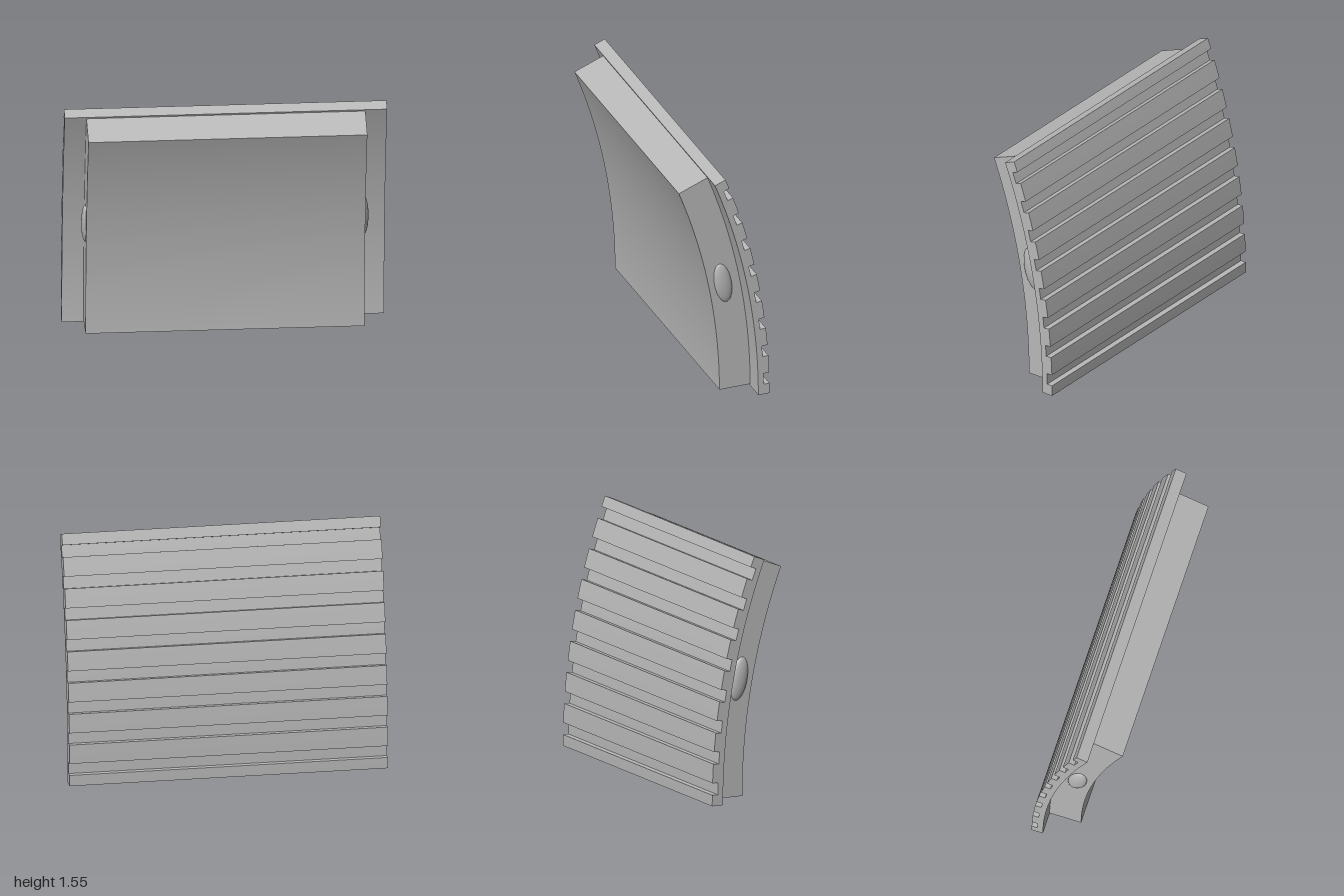
import * as THREE from 'three';
import { toCreasedNormals } from 'three/addons/utils/BufferGeometryUtils.js';

const CENTRE_Z = 3.97;             // axis of the curved panel
const FRONT_R = 3.965, JOINT_R = 4.17, GROOVE_R = 4.207, CREST_R = 4.245;

// Point on the side profile; shape x runs towards the back
const polar = (r, a) => new THREE.Vector2(r * Math.cos(a) - CENTRE_Z, r * Math.sin(a));

function arc(r, from, to, steps) {
  const points = [];
  for (let i = 0; i <= steps; i++) points.push(polar(r, from + (to - from) * i / steps));
  return points;
}

// Side profile extruded across the width, centred on x = 0
function extrudeAcross(points, width) {
  const geometry = new THREE.ExtrudeGeometry(new THREE.Shape(points), {
    depth: width, bevelEnabled: false, steps: 1
  });
  geometry.translate(0, 0, -width / 2);
  geometry.rotateY(Math.PI / 2);
  return toCreasedNormals(geometry, 0.3);
}

export function createModel() {
  const model = new THREE.Group();
  model.name = 'curvedPanel';
  const grey = new THREE.MeshStandardMaterial({ color: 0xb8b8b8 });
  grey.name = 'grey';

  const add = (name, geometry) => {
    const mesh = new THREE.Mesh(geometry, grey);
    mesh.name = name;
    model.add(mesh);
    return mesh;
  };

  // Thick front block
  add('frontBlock', extrudeAcross([
    ...arc(FRONT_R, 0.003, 0.3717, 32),
    ...arc(JOINT_R, 0.3717, 0.003, 32)
  ], 1.73));

  // Wider back plate with eight grooves across its back
  const top = 0.3745, edge = 0.0165, groove = 0.0177, count = 8;
  const pitch = (top - 2 * edge - groove) / (count - 1);
  const profile = [];
  let crestStart = 0;
  for (let i = 0; i < count; i++) {
    const start = edge + i * pitch;
    profile.push(...arc(CREST_R, crestStart, start, 3));
    profile.push(...arc(GROOVE_R, start, start + groove, 2));
    crestStart = start + groove;
  }
  profile.push(...arc(CREST_R, crestStart, top, 3));
  profile.push(...arc(JOINT_R, top, 0, 32));
  add('ribbedBackPlate', extrudeAcross(profile, 2));

  // Oval bumps on both sides of the block
  for (const side of [-1, 1]) {
    const bump = add(side > 0 ? 'leftBump' : 'rightBump', new THREE.SphereGeometry(1, 24, 16));
    bump.scale.set(0.028, 0.139, 0.057);
    bump.rotation.x = 0.187;
    bump.position.set(side * 0.863, 0.757, -0.018);
  }
  return model;
}
